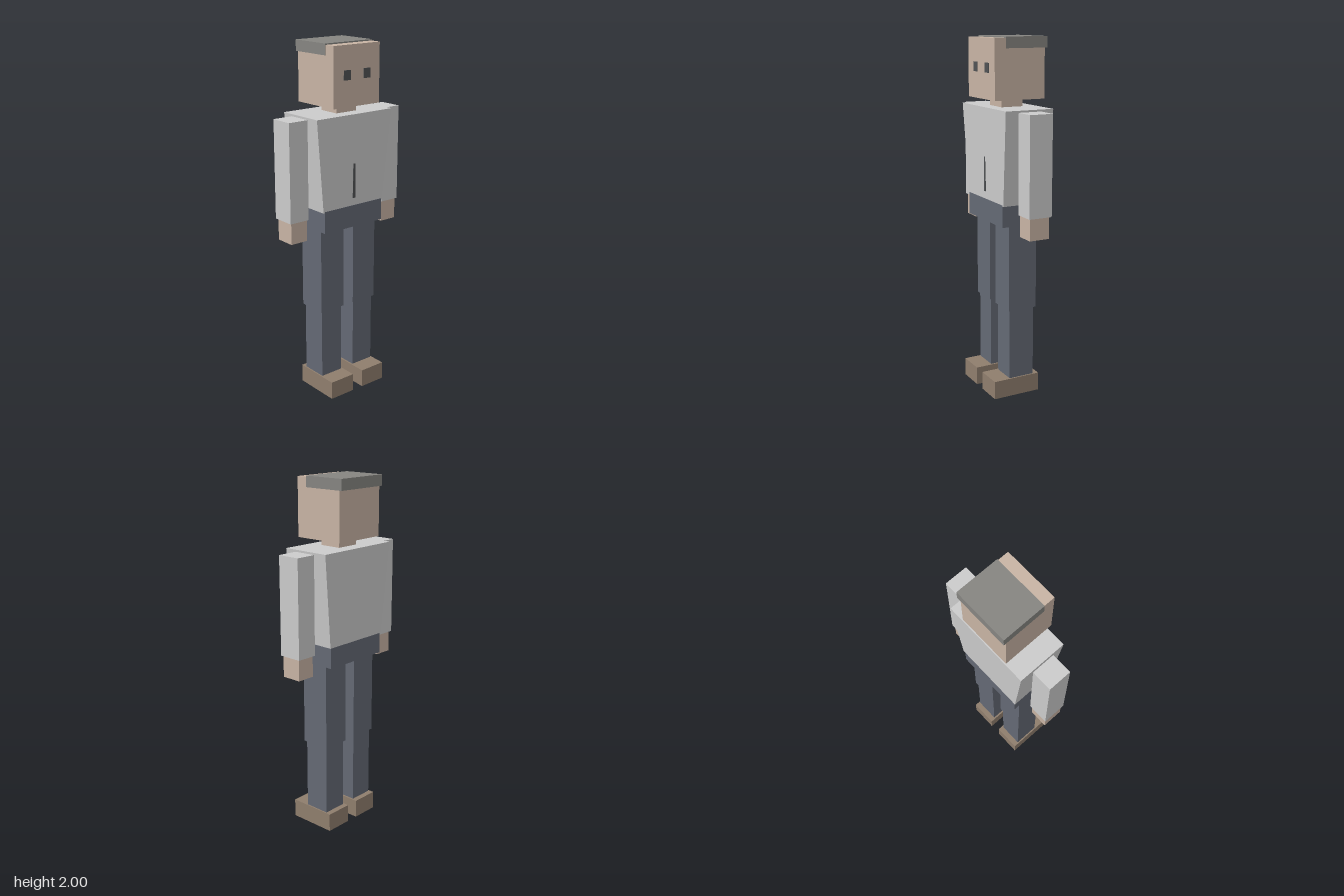
import * as THREE from 'three';

const paint = (color) => new THREE.MeshStandardMaterial({ color });

export function createModel() {
  const model = new THREE.Group();
  const shirt = paint(0xcccccc);
  const skin = paint(0xc8b4a4);
  const trousers = paint(0x646974);
  const leather = paint(0x8f7e6d);
  const hairMat = paint(0x868581);
  const dark = paint(0x505254);

  // Box given by its extents along each axis
  function block(name, material, [x0, x1], [y0, y1], [z0, z1]) {
    const geometry = new THREE.BoxGeometry(x1 - x0, y1 - y0, z1 - z0);
    const mesh = new THREE.Mesh(geometry, material);
    mesh.name = name;
    mesh.position.set((x0 + x1) / 2, (y0 + y1) / 2, (z0 + z1) / 2);
    model.add(mesh);
    return mesh;
  }

  // Head, hair and neck
  block('head', skin, [-0.157, 0.157], [1.67, 1.993], [-0.155, 0.145]);
  block('hair', hairMat, [-0.16, 0.16], [1.94, 2.0], [-0.17, 0.08]);
  block('neck', skin, [-0.068, 0.068], [1.62, 1.675], [-0.07, 0.058]);

  // Torso narrows towards the waist
  const torso = block('torso', shirt, [-0.26, 0.26], [1.11, 1.625], [-0.15, 0.135]);
  const corners = torso.geometry.attributes.position;
  for (let i = 0; i < corners.count; i++) {
    if (corners.getY(i) < 0) {
      corners.setX(i, corners.getX(i) * 0.81);
      corners.setZ(i, corners.getZ(i) * 0.92);
    }
  }
  torso.geometry.computeVertexNormals();

  // Front fastening, emerging from the sloping chest
  block('frontFastening', dark, [-0.008, 0.008], [1.16, 1.615], [0.11, 0.129]);
  block('hips', trousers, [-0.203, 0.203], [0.993, 1.117], [-0.135, 0.125]);

  // Mirrored eyes, arms and legs
  for (const [side, s] of [['left', 1], ['right', -1]]) {
    const pair = (part, material, [a, b], y, z) =>
      block(side + part, material, s > 0 ? [a, b] : [-b, -a], y, z);
    pair('Eye', dark, [0.045, 0.09], [1.812, 1.864], [0.135, 0.148]);
    pair('Arm', shirt, [0.264, 0.384], [1.07, 1.615], [-0.074, 0.061]);
    pair('Hand', skin, [0.27, 0.375], [0.95, 1.075], [-0.063, 0.053]);
    pair('Thigh', trousers, [0.035, 0.195], [0.51, 1.0], [-0.09, 0.08]);
    pair('Shin', trousers, [0.045, 0.185], [0.1, 0.515], [-0.08, 0.07]);
    pair('Shoe', leather, [0.035, 0.193], [0, 0.104], [-0.112, 0.168]);
  }
  return model;
}
